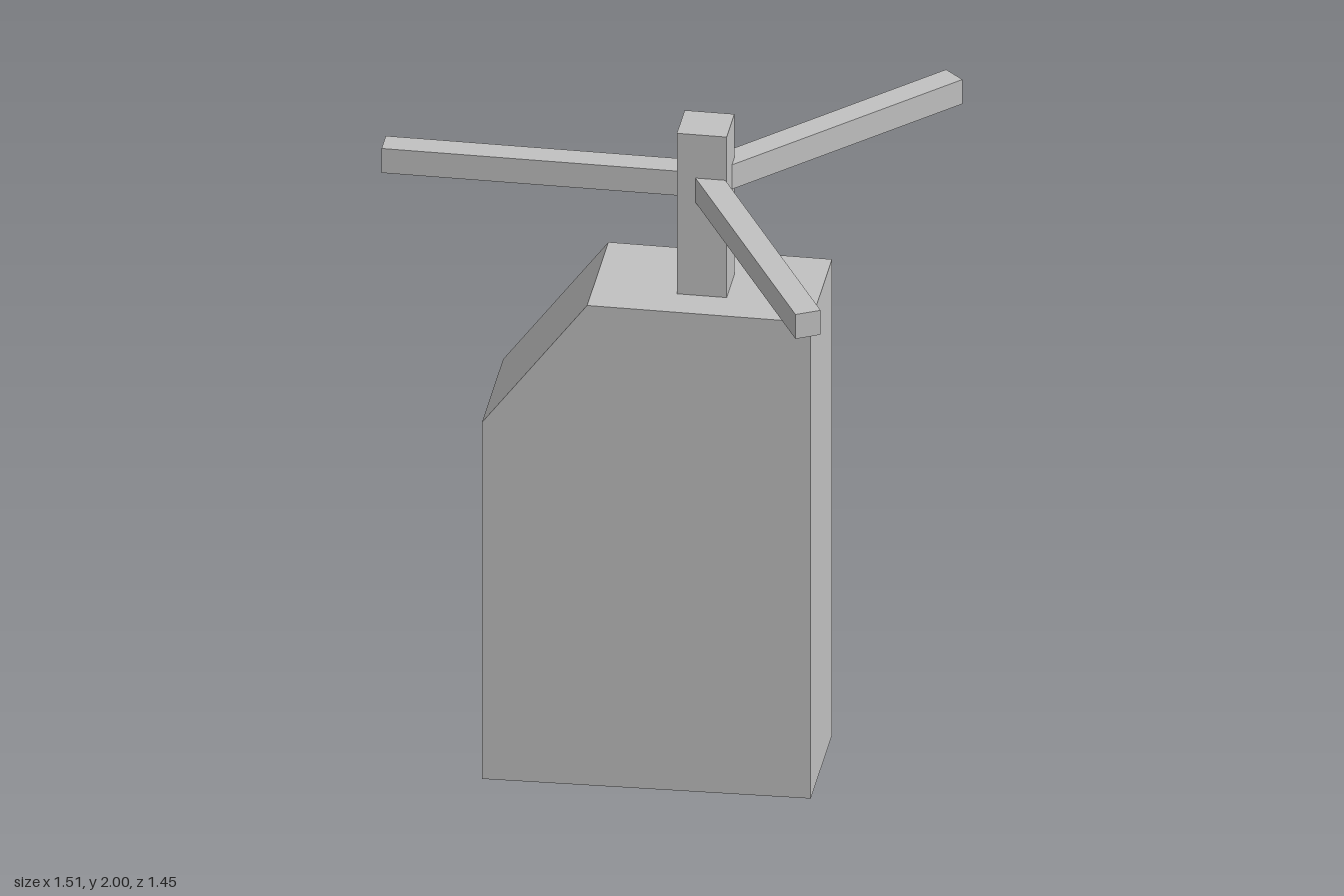
import * as THREE from 'three';

const grey = new THREE.MeshStandardMaterial({ color: 0xc0c0c0, side: THREE.DoubleSide });
grey.name = 'grey';

function addPart(group, name, geometry, x = 0, y = 0, z = 0) {
  const mesh = new THREE.Mesh(geometry, grey);
  mesh.name = name;
  mesh.position.set(x, y, z);
  group.add(mesh);
  return mesh;
}

// Remove the downward faces of a geometry, leaving it open underneath
function openBottom(source) {
  const geometry = source.index ? source.toNonIndexed() : source;
  const p = geometry.attributes.position;
  const n = geometry.attributes.normal;
  const positions = [];
  for (let i = 0; i < p.count; i += 3) {
    if (n.getY(i) < -0.9) continue;
    for (let k = i; k < i + 3; k++) positions.push(p.getX(k), p.getY(k), p.getZ(k));
  }
  const open = new THREE.BufferGeometry();
  open.setAttribute('position', new THREE.Float32BufferAttribute(positions, 3));
  open.computeVertexNormals();
  return open;
}

export function createModel() {
  const model = new THREE.Group();
  model.name = 'bladedTower';

  // Hollow tower with one cut corner and a slightly sloping open base
  const outline = new THREE.Shape([
    [-0.455, 0], [0.457, 0.017], [0.457, 1.5], [-0.163, 1.5], [-0.455, 1.11],
  ].map(([x, y]) => new THREE.Vector2(x, y)));
  const tower = new THREE.ExtrudeGeometry(outline, { depth: 0.368, bevelEnabled: false });
  addPart(model, 'tower', openBottom(tower), 0, 0, -0.268);

  // Square post on the roof
  addPart(model, 'post', openBottom(new THREE.BoxGeometry(0.138, 0.5, 0.134)), 0.138, 1.75, -0.072);

  // Three blades, each given by its root and tip in plan (x, z)
  const blades = [
    [0.09, -0.073, -0.755, -0.073],
    [0.155, -0.093, 0.726, -0.704],
    [0.147, -0.033, 0.547, 0.707],
  ];
  blades.forEach(([x0, z0, x1, z1], i) => {
    const length = Math.hypot(x1 - x0, z1 - z0);
    const blade = addPart(model, `blade${i + 1}`, new THREE.BoxGeometry(length, 0.076, 0.073),
      (x0 + x1) / 2, 1.827, (z0 + z1) / 2);
    blade.rotation.y = Math.atan2(z0 - z1, x1 - x0);
  });

  return model;
}
